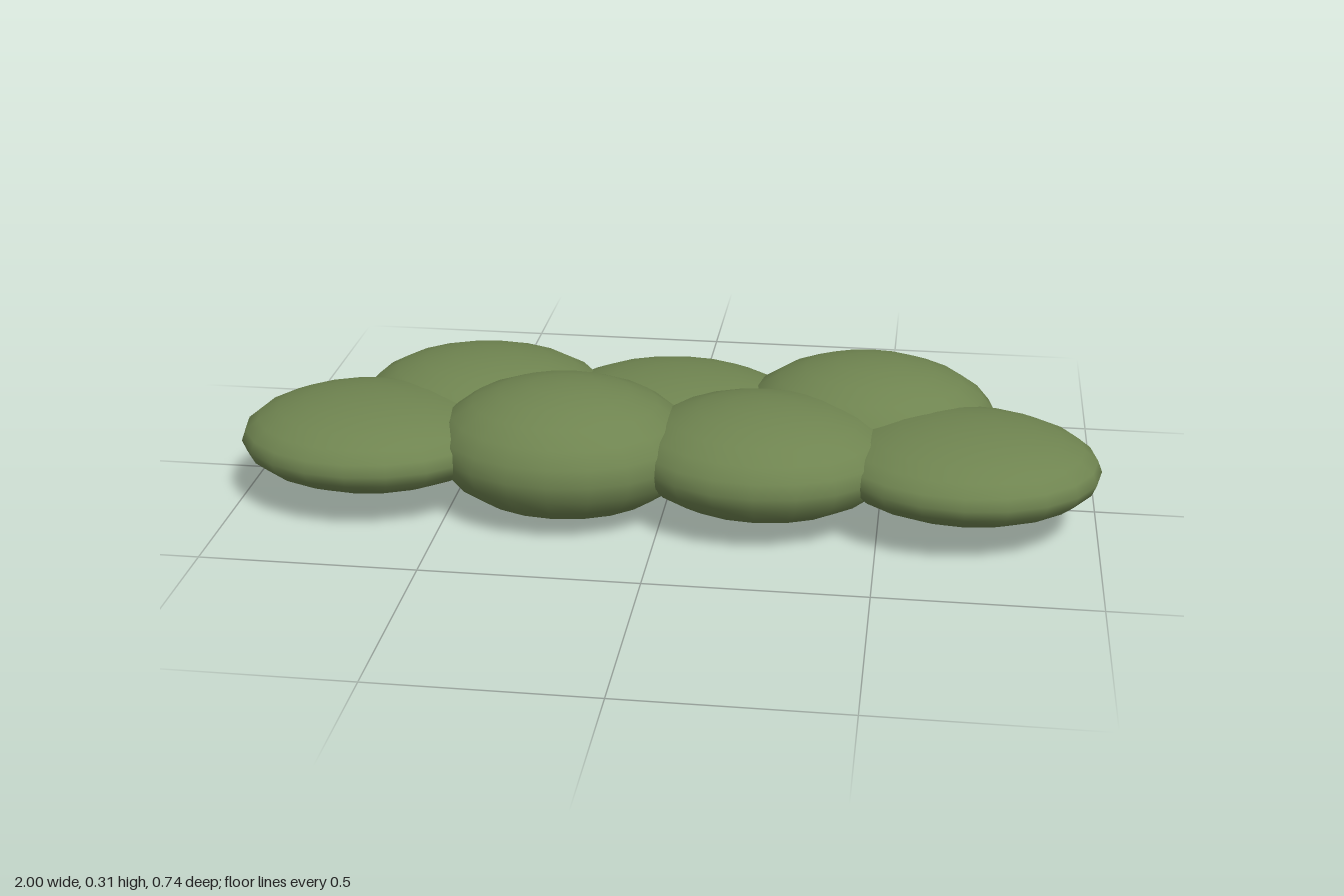
import * as THREE from 'three';

export function createModel() {
  const group = new THREE.Group();
  group.name = 'shrubCluster';
  const material = new THREE.MeshStandardMaterial({ color: 0x6f8450 });
  const sphere = new THREE.SphereGeometry(1, 20, 12);

  // Two staggered rows of flattened mounds; half-heights vary along each row
  const rows = [
    { name: 'frontMound', z: 0.115, heights: [0.102, 0.154, 0.128, 0.102] },
    { name: 'backMound', z: -0.115, heights: [0.128, 0.102, 0.154] },
  ];
  const spacing = 0.462;
  for (const { name, z, heights } of rows) {
    heights.forEach((height, i) => {
      const mound = new THREE.Mesh(sphere, material);
      mound.name = `${name}${i + 1}`;
      mound.scale.set(0.307, height, 0.256);
      mound.position.set((i - (heights.length - 1) / 2) * spacing, 0.154, z);
      group.add(mound);
    });
  }
  return group;
}
